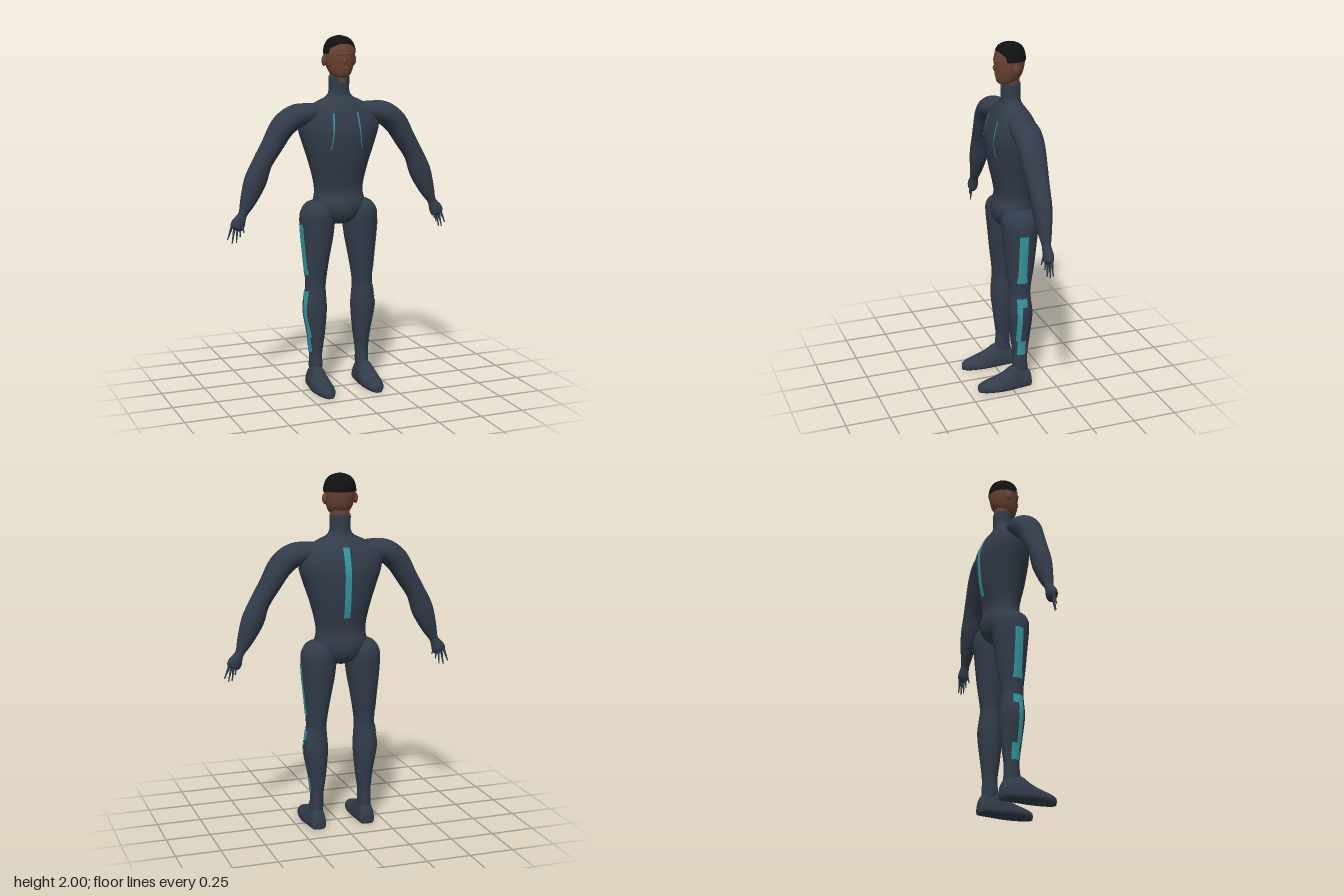
import * as THREE from 'three';

const material = (name, color, side = THREE.FrontSide) => {
  const m = new THREE.MeshStandardMaterial({ color, side });
  m.name = name;
  return m;
};

// Cross-sections: [x, y, z, half width, half depth]
const TORSO = [
  [0, 0.945, -0.055, 0, 0], [0, 0.955, -0.055, 0.06, 0.065], [0, 1.0, -0.056, 0.12, 0.103],
  [0, 1.06, -0.057, 0.152, 0.113], [0, 1.13, -0.062, 0.142, 0.097], [0, 1.2, -0.061, 0.15, 0.104],
  [0, 1.3, -0.06, 0.176, 0.125], [0, 1.4, -0.058, 0.21, 0.136], [0, 1.48, -0.058, 0.235, 0.137],
  [0, 1.55, -0.058, 0.238, 0.118], [0, 1.6, -0.055, 0.2, 0.097], [0, 1.64, -0.052, 0.125, 0.073],
  [0, 1.665, -0.052, 0.075, 0.058], [0, 1.7, -0.052, 0.058, 0.053], [0, 1.77, -0.052, 0.059, 0.053],
  [0, 1.776, -0.052, 0.048, 0.044],
];
const LEG = [
  [0.143, 0.07, -0.06, 0.036, 0.045], [0.143, 0.13, -0.058, 0.038, 0.046], [0.142, 0.2, -0.06, 0.038, 0.043],
  [0.14, 0.3, -0.06, 0.05, 0.055], [0.147, 0.45, -0.059, 0.07, 0.069], [0.145, 0.54, -0.057, 0.063, 0.064],
  [0.142, 0.61, -0.056, 0.058, 0.061], [0.137, 0.75, -0.059, 0.074, 0.08], [0.131, 0.88, -0.06, 0.093, 0.094],
  [0.129, 0.98, -0.06, 0.1, 0.104], [0.13, 1.03, -0.058, 0.089, 0.1], [0.13, 1.07, -0.058, 0.057, 0.075],
  [0.13, 1.092, -0.058, 0, 0],
];
const ARM = [
  [0.08, 1.585, -0.045, 0, 0], [0.13, 1.588, -0.045, 0.038, 0.055], [0.2, 1.575, -0.043, 0.058, 0.072],
  [0.27, 1.558, -0.042, 0.066, 0.079], [0.338, 1.505, -0.042, 0.067, 0.074], [0.397, 1.41, -0.042, 0.059, 0.066],
  [0.455, 1.315, -0.042, 0.055, 0.056], [0.497, 1.215, -0.042, 0.063, 0.052], [0.54, 1.11, -0.04, 0.045, 0.037],
  [0.569, 1.045, -0.038, 0.026, 0.025], [0.582, 1.02, -0.038, 0.029, 0.026], [0.598, 0.99, -0.038, 0.039, 0.029],
  [0.61, 0.963, -0.037, 0.034, 0.022], [0.615, 0.952, -0.037, 0, 0],
];
const HEAD = [
  [0, 1.764, -0.025, 0, 0], [0, 1.772, -0.025, 0.036, 0.04], [0, 1.79, -0.031, 0.057, 0.059],
  [0, 1.825, -0.04, 0.074, 0.074], [0, 1.87, -0.044, 0.084, 0.082], [0, 1.915, -0.046, 0.087, 0.084],
  [0, 1.955, -0.047, 0.075, 0.074], [0, 1.983, -0.047, 0.048, 0.049], [0, 1.997, -0.047, 0, 0],
];

// Smooth interpolation of a table of cross-sections, t in 0..1
function sample(rows, t) {
  const n = rows.length - 1, f = Math.min(t * n, n), i = Math.min(Math.floor(f), n - 1), u = f - i;
  const at = k => rows[Math.max(0, Math.min(n, k))];
  return rows[0].map((_, c) => {
    const [p, q, r, s] = [at(i - 1)[c], at(i)[c], at(i + 1)[c], at(i + 2)[c]];
    const v = q + 0.5 * u * (r - p + u * (2 * p - 5 * q + 4 * r - s + u * (3 * (q - r) + s - p)));
    return c > 2 ? Math.max(v, 0) : v;
  });
}

// Cross-section at a given height
function sampleY(rows, y) {
  let lo = 0, hi = 1;
  for (let k = 0; k < 24; k++) {
    const mid = (lo + hi) / 2;
    if (sample(rows, mid)[1] < y) lo = mid; else hi = mid;
  }
  return sample(rows, lo);
}

// Surface from a point rule; closed joins the last column to the first
function grid(nu, nv, point, closed) {
  const cols = closed ? nv : nv + 1, pos = [], index = [];
  for (let i = 0; i <= nu; i++) for (let j = 0; j < cols; j++) pos.push(...point(i / nu, j / nv));
  for (let i = 0; i < nu; i++) for (let j = 0; j < nv; j++) {
    const k = (j + 1) % cols, a = i * cols, b = a + cols;
    index.push(a + j, b + j, b + k, a + j, b + k, a + k);
  }
  const g = new THREE.BufferGeometry();
  g.setAttribute('position', new THREE.Float32BufferAttribute(pos, 3));
  g.setIndex(index);
  g.computeVertexNormals();
  return g;
}

// Body tube: level rings, or rings square to the path when bent
function loft(rows, bent = false) {
  return grid((rows.length - 1) * 4, 32, (u, v) => {
    const [x, y, z, a, b] = sample(rows, u), t = v * Math.PI * 2;
    let ax = 1, ay = 0;
    if (bent) {
      const p = sample(rows, Math.max(0, u - 0.02)), q = sample(rows, Math.min(1, u + 0.02));
      const l = Math.hypot(q[0] - p[0], q[1] - p[1]);
      ax = (q[1] - p[1]) / l;
      ay = -(q[0] - p[0]) / l;
    }
    const c = a * Math.cos(t);
    return [x + ax * c, y + ay * c, z + b * Math.sin(t)];
  }, true);
}

// Thin stripe lying on a body tube, facing 'side', 'front' or 'back'
function stripe(rows, y0, y1, range, facing) {
  return grid(24, 4, (u, v) => {
    const y = y0 + (y1 - y0) * u, [x, , z, a0, b0] = sampleY(rows, y), a = a0 + 0.003, b = b0 + 0.003;
    const [lo, hi] = range(u), s = lo + (hi - lo) * v;
    if (facing === 'side') return [x + a * Math.sqrt(Math.max(0, 1 - ((s - z) / b) ** 2)), y, s];
    const d = b * Math.sqrt(Math.max(0, 1 - ((s - x) / a) ** 2));
    return [s, y, facing === 'front' ? z + d : z - d];
  }, false);
}

// Flat-soled foot, from toe to heel: [x, height, z, half width, unused]
function footGeometry() {
  const rows = [
    [0.146, 0.03, 0.194, 0, 0], [0.146, 0.042, 0.188, 0.022, 0], [0.147, 0.058, 0.15, 0.045, 0],
    [0.148, 0.075, 0.09, 0.058, 0], [0.149, 0.1, 0.035, 0.06, 0], [0.148, 0.132, -0.01, 0.055, 0],
    [0.146, 0.135, -0.06, 0.049, 0], [0.145, 0.11, -0.1, 0.045, 0], [0.145, 0.075, -0.121, 0.034, 0],
    [0.145, 0.04, -0.126, 0, 0],
  ];
  return grid(36, 28, (u, v) => {
    const [x, h, z, w] = sample(rows, u), t = v * Math.PI * 2, s = Math.sin(t);
    const y = s >= 0 ? 0.022 + (h - 0.022) * s : 0.022 * (1 + Math.max(-1, s * 1.8));
    return [x + w * Math.cos(t), y, z];
  }, true);
}

function ball(x, y, z, rx, ry, rz) {
  return new THREE.SphereGeometry(1, 16, 12).scale(rx, ry, rz).translate(x, y, z);
}

// Tapered finger between two points
function finger(from, to) {
  const a = new THREE.Vector3(...from), b = new THREE.Vector3(...to), d = b.clone().sub(a);
  const g = new THREE.CylinderGeometry(0.003, 0.008, d.length(), 8);
  g.applyQuaternion(new THREE.Quaternion().setFromUnitVectors(new THREE.Vector3(0, 1, 0), d.normalize()));
  return g.translate((a.x + b.x) / 2, (a.y + b.y) / 2, (a.z + b.z) / 2);
}

function mirrored(geometry) {
  const g = geometry.clone().scale(-1, 1, 1), ix = g.index.array;
  for (let i = 0; i < ix.length; i += 3) [ix[i], ix[i + 1]] = [ix[i + 1], ix[i]];
  return g;
}

export function createModel() {
  const model = new THREE.Group();
  model.name = 'suitedFigure';
  const suit = material('suit', 0x323c4a), skin = material('skin', 0x6a4333);
  const hair = material('hair', 0x111111, THREE.DoubleSide), glow = material('trim', 0x3596a0, THREE.DoubleSide);

  const add = (name, geometry, mat) => {
    const mesh = new THREE.Mesh(geometry, mat);
    mesh.name = name;
    model.add(mesh);
  };
  const pair = (name, geometry, mat) => {
    add(name + 'Left', geometry, mat);
    add(name + 'Right', mirrored(geometry), mat);
  };

  // Suited body
  add('torso', loft(TORSO), suit);
  pair('arm', loft(ARM, true), suit);
  pair('leg', loft(LEG), suit);
  pair('foot', footGeometry(), suit);

  // Fingers and thumb
  [[0.59, 0.594, 0.915], [0.604, 0.614, 0.885], [0.618, 0.636, 0.882], [0.632, 0.66, 0.903]].forEach(([x0, x1, y], i) =>
    pair('finger' + (i + 1), finger([x0, 0.975, -0.03 - i * 0.005], [x1, y, -0.02 - i * 0.007]), suit));
  pair('thumb', finger([0.585, 0.995, -0.02], [0.575, 0.94, -0.008]), suit);

  // Head and face
  add('head', loft(HEAD), skin);
  add('neckSkin', new THREE.CylinderGeometry(0.052, 0.052, 0.06, 24).translate(0, 1.77, -0.05), skin);
  add('nose', ball(0, 1.862, 0.036, 0.013, 0.02, 0.013), skin);
  add('mouth', ball(0, 1.822, 0.03, 0.024, 0.008, 0.007), skin);
  add('brow', ball(0, 1.9, 0.025, 0.05, 0.012, 0.015), skin);
  pair('ear', ball(0.088, 1.862, -0.052, 0.013, 0.03, 0.02), skin);

  // Short hair with a raised front hairline
  add('hair', grid(16, 64, (u, v) => {
    const t = v * Math.PI * 2, s = Math.sin(t);
    const low = s < 0.5 ? 1.9 : 1.925 + 0.028 * Math.min(1, (s - 0.5) * 2.2);
    const y = low + (1.997 - low) * Math.sin(u * Math.PI / 2), [x, , z, a, b] = sampleY(HEAD, y);
    const k = u === 1 ? 0 : 0.003;
    return [x + (a + k) * Math.cos(t), y + 0.003 * u, z + (b + k) * s];
  }, true), hair);

  // Bright trim on the chest, spine and outer legs
  pair('chestStripe', stripe(TORSO, 1.38, 1.58, u => {
    const x = 0.097 - 0.026 * Math.sqrt(u), w = 0.002 + 0.003 * u;
    return [x - w, x + w];
  }, 'front'), glow);
  add('spineStripe', stripe(TORSO, 1.22, 1.605, () => [-0.018, 0.018], 'back'), glow);
  [['thighStripe', 0.7, 0.955, -0.075, -0.025], ['kneeStripe', 0.665, 0.7, -0.078, -0.02],
    ['upperCalfStripe', 0.52, 0.57, -0.078, -0.02], ['calfStripe', 0.3, 0.52, -0.048, -0.02],
    ['lowerCalfStripe', 0.21, 0.3, -0.078, -0.03]].forEach(([name, y0, y1, z0, z1]) =>
    pair(name, stripe(LEG, y0, y1, () => [z0, z1], 'side'), glow));

  return model;
}
